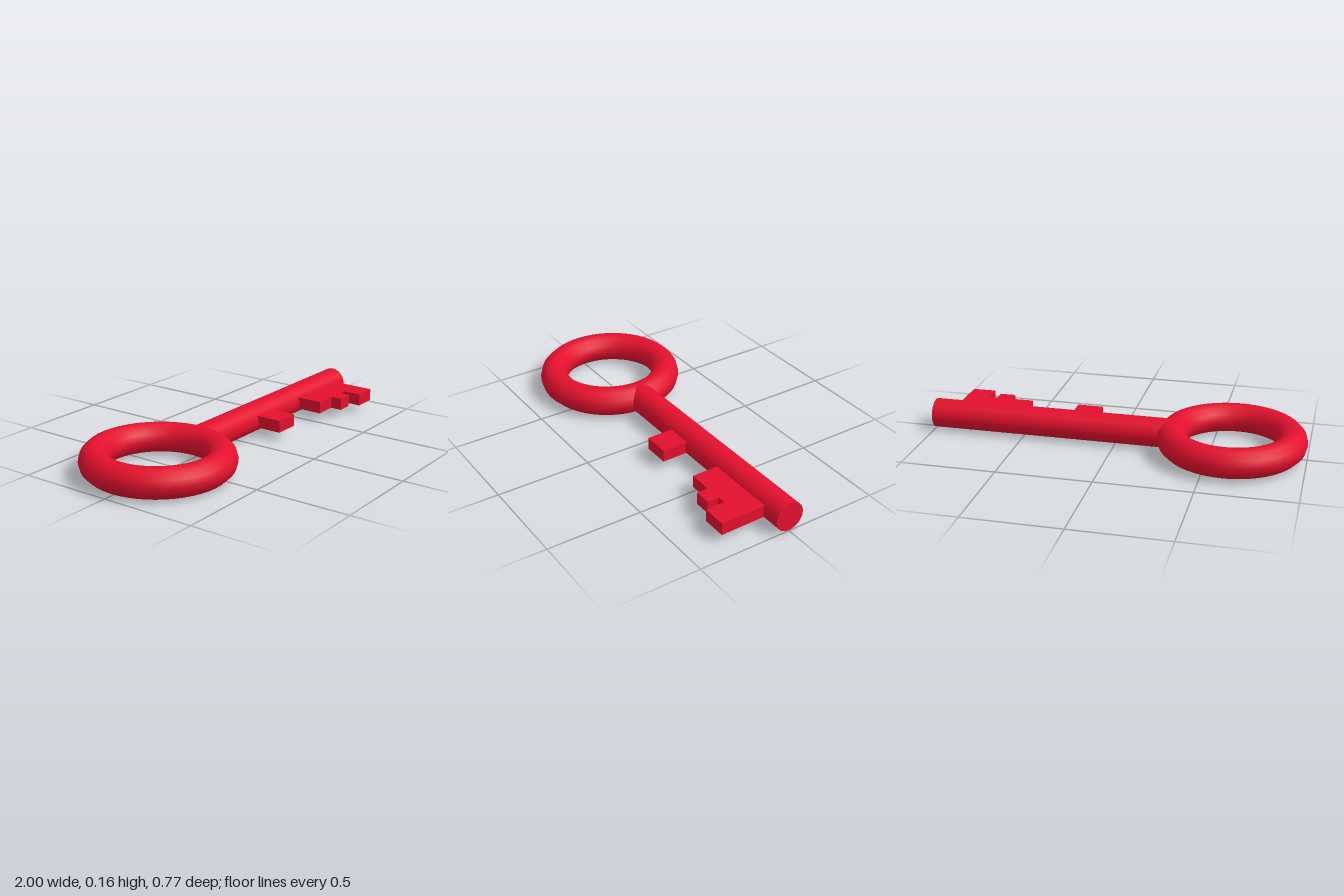
import * as THREE from 'three';

const material = new THREE.MeshStandardMaterial({ color: 0xe3102d });
const TUBE = 0.077; // shared radius of bow ring and shaft

function part(name, geometry, parent) {
  const mesh = new THREE.Mesh(geometry, material);
  mesh.name = name;
  parent.add(mesh);
  return mesh;
}

// Flat plate from an outline of [x, z] points, centred on y = 0
function plate(outline, thickness) {
  const shape = new THREE.Shape(outline.map(([x, z]) => new THREE.Vector2(x, -z)));
  const geometry = new THREE.ExtrudeGeometry(shape, { depth: thickness, bevelEnabled: false });
  return geometry.translate(0, 0, -thickness / 2).rotateX(-Math.PI / 2);
}

export function createModel() {
  const model = new THREE.Group();
  model.name = 'key';

  // The key lies flat with a very slight roll about its shaft
  const body = new THREE.Group();
  body.name = 'keyBody';
  body.position.y = 0.081;
  body.rotation.x = 0.01;
  model.add(body);

  // Ring-shaped handle
  const bow = part('bow', new THREE.TorusGeometry(0.31, TUBE, 12, 48).rotateX(Math.PI / 2), body);
  bow.position.x = -0.613;

  // Round shaft, starting inside the ring's tube
  const start = -0.3, end = 1;
  const shaft = part('shaft', new THREE.CylinderGeometry(TUBE, TUBE, end - start, 32).rotateZ(Math.PI / 2), body);
  shaft.position.x = (start + end) / 2;

  // Teeth, rooted inside the shaft
  const root = 0.03, thickness = 0.065;
  part('innerTooth', plate([[0.12, root], [0.26, root], [0.26, 0.21], [0.12, 0.21]], thickness), body);
  part('steppedBit', plate([
    [0.52, root], [0.9, root], [0.9, 0.313], [0.775, 0.313], [0.775, 0.21],
    [0.728, 0.21], [0.728, 0.272], [0.643, 0.272], [0.643, 0.21], [0.52, 0.21],
  ], thickness), body);

  return model;
}
